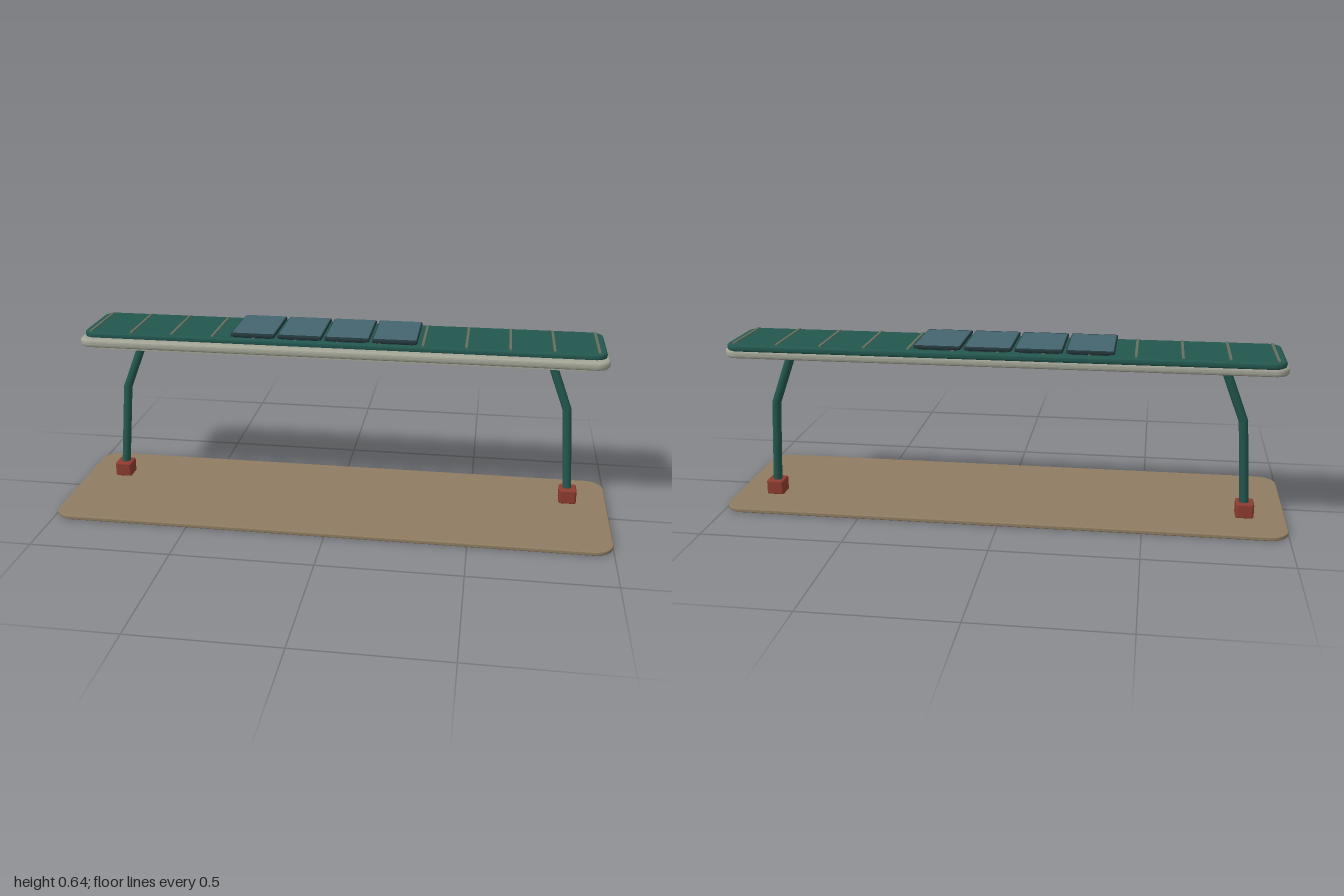
import * as THREE from 'three';

const mat = (name, color) => {
  const m = new THREE.MeshStandardMaterial({ color });
  m.name = name;
  return m;
};

export function createModel() {
  const group = new THREE.Group();
  const green = mat('dark green metal', 0x23574f);
  const cream = mat('pale grey trim', 0xa3a596);
  const tan = mat('tan paving', 0x8f7c62);
  const brick = mat('brick red footing', 0x8c3b2f);
  const blue = mat('blue grey solar glass', 0x44656f);
  const dark = mat('dark frame', 0x22363a);
  const seam = mat('olive seam', 0x66705f);

  const add = (name, geometry, material, x = 0, y = 0, z = 0) => {
    const mesh = new THREE.Mesh(geometry, material);
    mesh.name = name;
    mesh.position.set(x, y, z);
    group.add(mesh);
    return mesh;
  };

  // Horizontal plate with rounded corners and bevelled rims, resting on y = 0
  const plate = (w, d, h, r, bevel, segments = 3) => {
    const a = w / 2 - bevel, b = d / 2 - bevel, q = Math.max(r - bevel, 0.002);
    const s = new THREE.Shape();
    s.moveTo(-a + q, -b);
    s.lineTo(a - q, -b);
    s.absarc(a - q, -b + q, q, -Math.PI / 2, 0);
    s.absarc(a - q, b - q, q, 0, Math.PI / 2);
    s.absarc(-a + q, b - q, q, Math.PI / 2, Math.PI);
    s.absarc(-a + q, -b + q, q, Math.PI, Math.PI * 1.5);
    const g = new THREE.ExtrudeGeometry(s, {
      depth: h - 2 * bevel, bevelEnabled: true, bevelSize: bevel,
      bevelThickness: bevel, bevelSegments: segments, curveSegments: 8,
    });
    return g.rotateX(-Math.PI / 2).translate(0, bevel, 0);
  };

  // Ground slab
  add('groundSlab', plate(2, 0.594, 0.015, 0.07, 0.004), tan);

  // Footings and bent posts, mirrored
  for (const side of [-1, 1]) {
    add('footing', plate(0.064, 0.068, 0.054, 0.01, 0.006), brick, side * 0.857, 0.013, -0.108);
    const knee = new THREE.Vector3(side * 0.832, 0.37, -0.131);
    const points = [
      new THREE.Vector3(side * 0.856, 0.04, -0.11), knee,
      new THREE.Vector3(side * 0.75, 0.585, -0.146),
    ];
    for (let i = 0; i < 2; i++) {
      const path = new THREE.LineCurve3(points[i], points[i + 1]);
      add(i ? 'upperPost' : 'lowerPost', new THREE.TubeGeometry(path, 1, 0.016, 16), green);
    }
    add('postElbow', new THREE.SphereGeometry(0.0162, 16, 10), green, knee.x, knee.y, knee.z);
  }

  // Canopy: pale rim below, green roof above
  add('canopyRim', plate(1.92, 0.315, 0.03, 0.05, 0.011), cream, 0, 0.569, -0.1335);
  add('canopyRoof', plate(1.9, 0.284, 0.024, 0.045, 0.009), green, 0, 0.594, -0.151);

  // Standing seams across the roof
  for (let i = -6; i <= 6; i++) {
    add('roofSeam', new THREE.BoxGeometry(0.009, 0.005, 0.255), seam, i * 0.1535, 0.6195, -0.148);
  }

  // Solar panels on frames
  for (let i = 0; i < 4; i++) {
    const x = -0.31 + i * 0.172;
    add('panelMount', new THREE.BoxGeometry(0.13, 0.008, 0.24), dark, x, 0.62, -0.147);
    add('panelFrame', plate(0.162, 0.257, 0.012, 0.008, 0.004), dark, x, 0.622, -0.1465);
    add('panelGlass', plate(0.155, 0.234, 0.006, 0.006, 0.002, 1), blue, x, 0.63, -0.151);
  }

  // Light strip under the front edge with two small sensors
  add('lightStrip', new THREE.BoxGeometry(1.78, 0.006, 0.016), cream, 0, 0.564, -0.003);
  for (const x of [-0.345, 0.345]) {
    add('sensorDisc', new THREE.CylinderGeometry(0.02, 0.02, 0.004, 20), dark, x, 0.56, -0.025);
    add('sensorStem', new THREE.CylinderGeometry(0.006, 0.006, 0.012, 10), dark, x, 0.566, -0.025);
  }

  return group;
}
